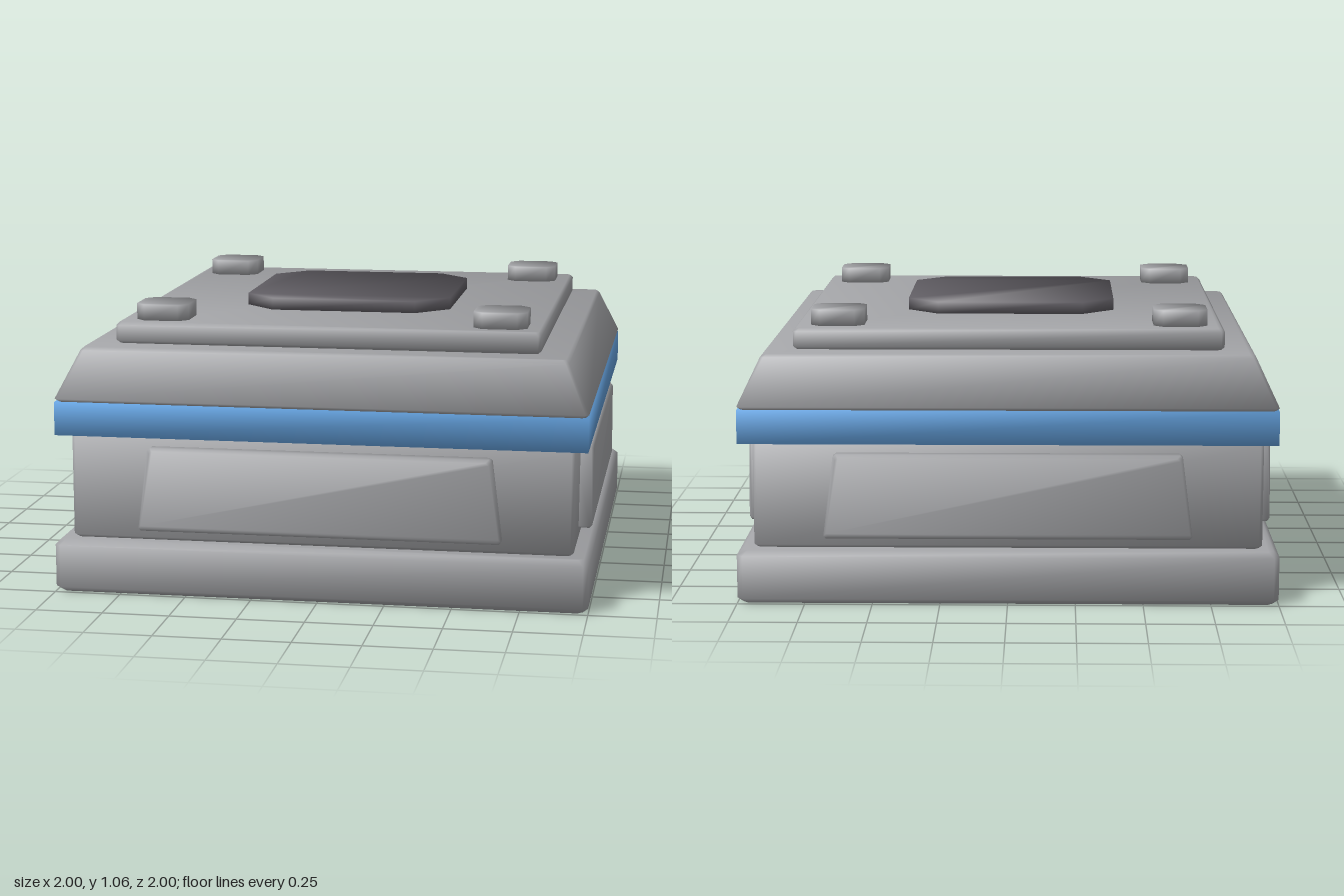
import * as THREE from 'three';

const mat = (name, color) => Object.assign(new THREE.MeshStandardMaterial({ color }), { name });

// Four-sided outline with cut corners; lo and hi are half widths at y0 and y1
function outline(lo, hi, y0, y1, cut) {
  const corners = [[-lo, y0], [lo, y0], [hi, y1], [-hi, y1]].map(p => new THREE.Vector2(...p));
  if (!cut) return corners;
  return corners.flatMap((p, i) => [corners[(i + 3) % 4], corners[(i + 1) % 4]].map(q =>
    p.clone().add(q.clone().sub(p).setLength(cut))));
}
const square = (h, cut) => outline(h, h, -h, h, cut);

// Smooth normals, each face weighted by its corner angle
function smoothNormals(geo) {
  const pos = geo.attributes.position, idx = geo.index.array;
  const normals = Array.from({ length: pos.count }, () => new THREE.Vector3());
  const v = i => new THREE.Vector3().fromBufferAttribute(pos, i);
  for (let t = 0; t < idx.length; t += 3) {
    for (let k = 0; k < 3; k++) {
      const a = idx[t + k], p = v(a);
      const e = v(idx[t + (k + 1) % 3]).sub(p), f = v(idx[t + (k + 2) % 3]).sub(p);
      normals[a].addScaledVector(e.clone().cross(f).normalize(), e.angleTo(f));
    }
  }
  const flat = normals.flatMap(n => n.normalize().toArray());
  geo.setAttribute('normal', new THREE.Float32BufferAttribute(flat, 3));
  return geo;
}

// Closed solid through a stack of [outline, z] sections
function loft(sections) {
  const n = sections[0][0].length, last = (sections.length - 1) * n;
  const pts = sections.flatMap(([ring, z]) => ring.flatMap(p => [p.x, p.y, z]));
  const idx = [];
  for (let s = 0; s < last; s += n) {
    for (let i = 0; i < n; i++) {
      const j = (i + 1) % n;
      idx.push(s + i, s + j, s + n + j, s + i, s + n + j, s + n + i);
    }
  }
  for (let i = 1; i < n - 1; i++) idx.push(0, i + 1, i, last, last + i, last + i + 1);
  const geo = new THREE.BufferGeometry();
  geo.setAttribute('position', new THREE.Float32BufferAttribute(pts, 3));
  geo.setIndex(idx);
  return smoothNormals(geo);
}

// Upright square slab with bevelled edges, tapering from half width h0 to h1
function slab(h0, h1, y0, y1, b) {
  return loft([
    [square(h0 - b, b), y0], [square(h0, b), y0 + b],
    [square(h1, b), y1 - b], [square(h1 - b, b), y1],
  ]).rotateX(-Math.PI / 2);
}

// Upright prism with cut corners
const prism = (h, y0, y1, cut) =>
  loft([[square(h, cut), y0], [square(h, cut), y1]]).rotateX(-Math.PI / 2);

export function createModel() {
  const grey = mat('grey metal', 0xa3a4a7);
  const blue = mat('blue band', 0x65a3e0);
  const dark = mat('dark hatch', 0x615e64);

  const model = new THREE.Group();
  model.name = 'squarePedestal';
  const add = (name, geo, material) => {
    const mesh = new THREE.Mesh(geo, material);
    mesh.name = name;
    model.add(mesh);
    return mesh;
  };

  // Stacked tiers
  add('base', slab(1, 1, 0, 0.2, 0.02), grey);
  add('body', slab(0.94, 0.94, 0.2, 0.6, 0.012), grey);
  add('band', prism(0.99, 0.6, 0.725, 0), blue);
  add('cap', slab(0.99, 0.91, 0.725, 0.92, 0.012), grey);
  add('topPlate', slab(0.8, 0.8, 0.92, 1, 0.012), grey);

  // Raised trapezoid panel on each side
  const panel = loft([
    [outline(0.68, 0.64, 0.245, 0.56, 0.01), 0.92],
    [outline(0.68, 0.64, 0.245, 0.56, 0.01), 0.98],
    [outline(0.67, 0.63, 0.255, 0.55, 0.01), 0.99],
  ]);
  for (let i = 0; i < 4; i++) add('sidePanel', panel, grey).rotation.y = i * Math.PI / 2;

  // Hatch and corner studs on the top plate
  add('hatch', prism(0.4, 1, 1.045, 0.12), dark);
  const stud = prism(0.1, 1, 1.06, 0.035);
  for (const x of [-0.64, 0.64]) {
    for (const z of [-0.64, 0.64]) add('cornerStud', stud, grey).position.set(x, 0, z);
  }
  return model;
}
